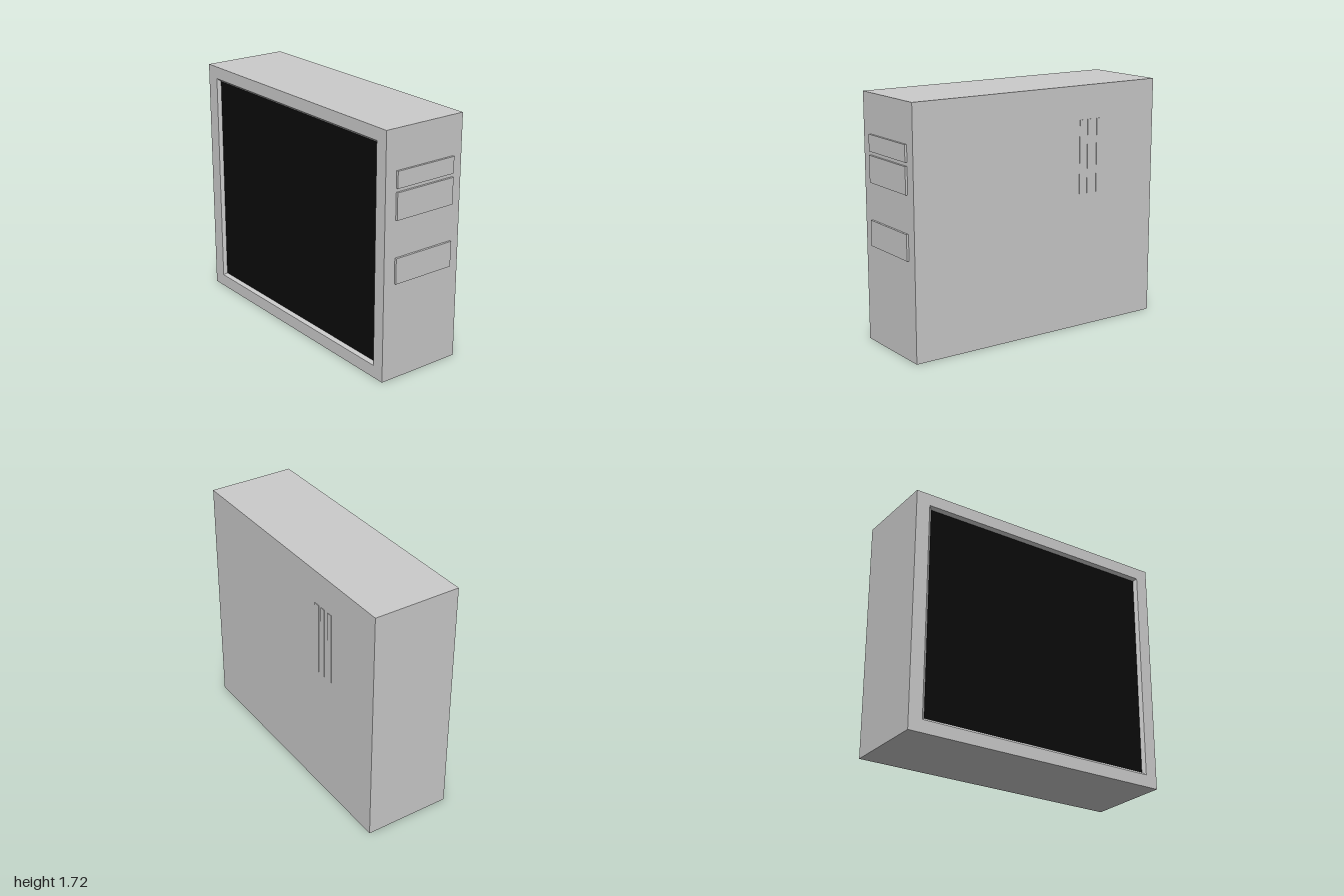
import * as THREE from 'three';

// Corners of a rectangle at depth z, counter-clockwise seen from the front
const rect = (x0, x1, y0, y1, z) => [[x0, y0, z], [x1, y0, z], [x1, y1, z], [x0, y1, z]];

// Skin through a row of rectangles, optionally closing the first one
function loft(loops, capStart) {
  const pos = [];
  const quad = (a, b, c, d) => pos.push(...a, ...b, ...c, ...a, ...c, ...d);
  for (let k = 0; k + 1 < loops.length; k++) {
    for (let i = 0; i < 4; i++) {
      const j = (i + 1) % 4;
      quad(loops[k][i], loops[k][j], loops[k + 1][j], loops[k + 1][i]);
    }
  }
  if (capStart) quad(...[...loops[0]].reverse());
  const geo = new THREE.BufferGeometry();
  geo.setAttribute('position', new THREE.Float32BufferAttribute(pos, 3));
  geo.computeVertexNormals();
  return geo;
}

export function createModel() {
  const group = new THREE.Group();
  const grey = new THREE.MeshStandardMaterial({ color: 0xcccccc });
  const black = new THREE.MeshStandardMaterial({ color: 0x0a0a0a });

  const add = (name, geo, mat, x = 0, y = 0, z = 0) => {
    const mesh = new THREE.Mesh(geo, mat);
    mesh.name = name;
    mesh.position.set(x, y, z);
    group.add(mesh);
  };
  const addBox = (name, x0, x1, y0, y1, z0, z1) =>
    add(name, new THREE.BoxGeometry(x1 - x0, y1 - y0, z1 - z0), grey,
      (x0 + x1) / 2, (y0 + y1) / 2, (z0 + z1) / 2);

  // Cabinet: back, sides, front frame and the sloped edge of the screen recess
  const front = 0.315, recess = 0.295;
  add('cabinet', loft([
    rect(-1, 0.985, 0, 1.717, -0.311),
    rect(-1, 0.985, 0, 1.717, front),
    rect(-0.9, 0.895, 0.088, 1.631, front),
    rect(-0.877, 0.873, 0.107, 1.612, recess),
  ], true), grey);

  // Dark screen at the bottom of the recess
  add('screen', new THREE.PlaneGeometry(1.75, 1.505), black, -0.002, 0.8595, recess);

  // Raised panels on the left side
  for (const [y0, y1] of [[1.328, 1.443], [1.117, 1.302], [0.682, 0.86]]) {
    addBox('sidePanel', 0.97, 1, y0, y1, -0.238, 0.228);
  }

  // Thin vertical ribs on the back
  for (const x of [-0.51, -0.43, -0.363]) {
    addBox('backRib', x - 0.021, x + 0.021, 0.96, 1.48, -0.315, -0.3);
  }
  return group;
}
